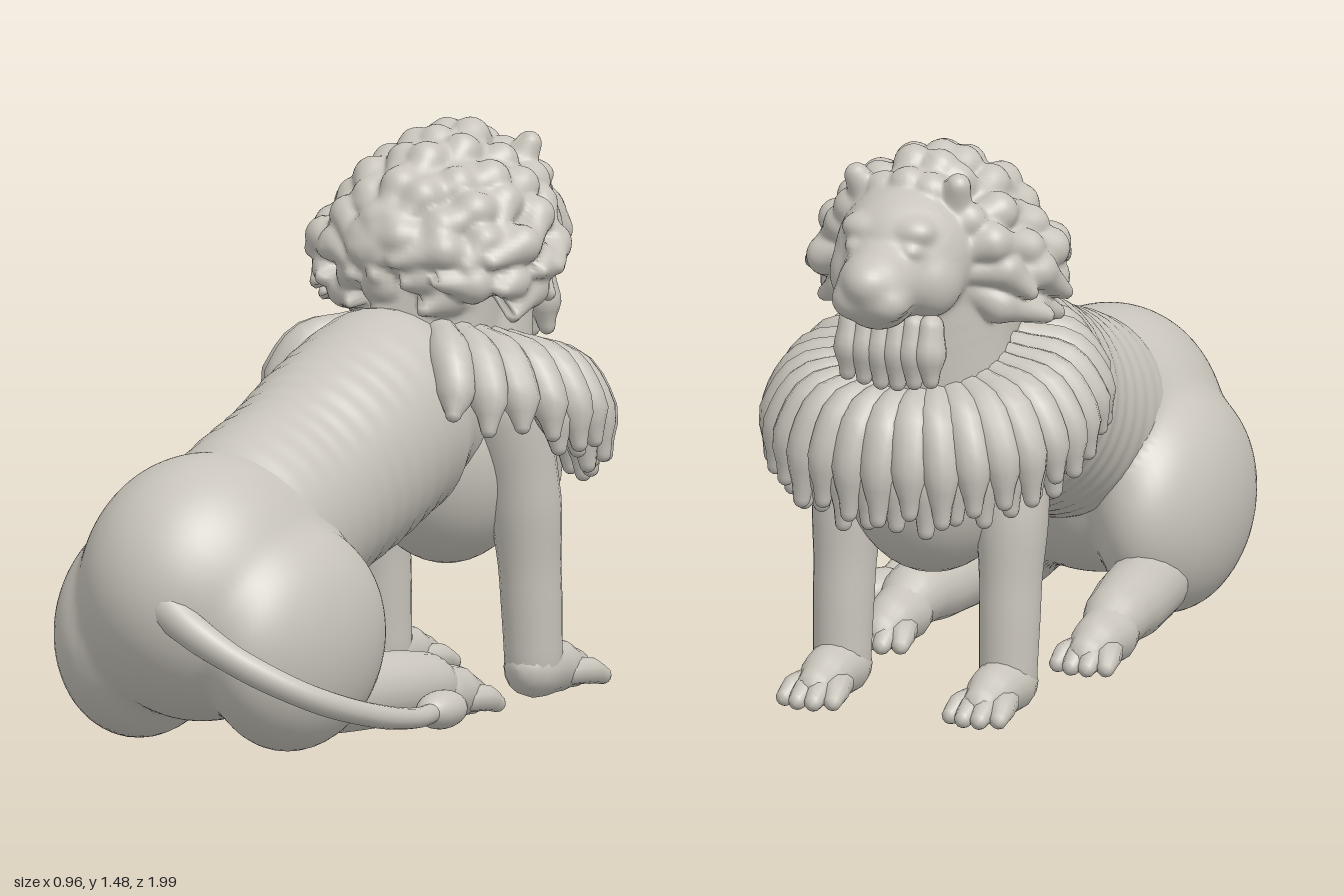
import * as THREE from 'three';
import { mergeVertices } from 'three/addons/utils/BufferGeometryUtils.js';

const stone = new THREE.MeshStandardMaterial({ color: 0xc8c4bb });
stone.name = 'warm grey stone';

const add = (parent, name, geometry) => {
  const m = new THREE.Mesh(geometry, stone);
  m.name = name;
  parent.add(m);
  return m;
};

const group = (parent, name) => {
  const g = new THREE.Group();
  g.name = name;
  parent.add(g);
  return g;
};

// Ellipsoid from centre and three radii
function blob(parent, name, c, r, detail = 32) {
  const m = add(parent, name, new THREE.SphereGeometry(1, detail, Math.ceil(detail * 0.7)));
  m.position.set(...c);
  m.scale.set(...r);
}

// Distance functions for shapes that melt together
const oval = (c, r) => (x, y, z) => {
  const a = (x - c[0]) / r[0], b = (y - c[1]) / r[1], d = (z - c[2]) / r[2];
  const k = Math.hypot(a, b, d);
  return k * (k - 1) / (Math.hypot(a / r[0], b / r[1], d / r[2]) + 1e-9);
};
const cone = (a, b, ra, rb) => {
  const v = b.map((n, i) => n - a[i]);
  const len = v[0] ** 2 + v[1] ** 2 + v[2] ** 2;
  return (x, y, z) => {
    const px = x - a[0], py = y - a[1], pz = z - a[2];
    const t = Math.min(1, Math.max(0, (px * v[0] + py * v[1] + pz * v[2]) / len));
    return Math.sqrt((px - v[0] * t) ** 2 + (py - v[1] * t) ** 2 + (pz - v[2] * t) ** 2) - ra - (rb - ra) * t;
  };
};

// One smooth skin: sphere vertices drawn inwards until they touch the melted shapes
function meld(parent, name, centre, shapes, soft, detail) {
  const sphere = new THREE.SphereGeometry(1, detail, Math.round(detail * 0.6));
  sphere.deleteAttribute('uv');
  sphere.deleteAttribute('normal');
  const g = mergeVertices(sphere, 1e-5);
  const pos = g.attributes.position;
  const d = new Float64Array(shapes.length);
  for (let i = 0; i < pos.count; i++) {
    const dir = [pos.getX(i), pos.getY(i), pos.getZ(i)];
    const point = t => dir.map((n, k) => centre[k] + n * t);
    let t = 0.8;
    for (let step = 0; step < 40 && t > 0.02; step++) {
      const [x, y, z] = point(t);
      let min = Infinity, sum = 0;
      for (let k = 0; k < d.length; k++) min = Math.min(min, d[k] = shapes[k](x, y, z));
      for (let k = 0; k < d.length; k++) if (d[k] - min < 6 * soft) sum += Math.exp((min - d[k]) / soft);
      const dist = min - soft * Math.log(sum);
      if (dist < 0.0008) break;
      t -= dist * 0.9;
    }
    pos.setXYZ(i, ...point(t));
  }
  g.computeVertexNormals();
  add(parent, name, g);
}

// Round-ended tube whose radius varies along a smooth path
function limb(parent, name, points, radii, seg = 12, sides = 12, ripple = () => 0) {
  const curve = new THREE.CatmullRomCurve3(points.map(p => new THREE.Vector3(...p)));
  const frames = curve.computeFrenetFrames(seg);
  const rings = [];
  const dome = [1, 0.8, 0.55, 0.28].map(k => k * Math.PI / 2);
  const ring = (i, r, shift) => rings.push({
    i, r, c: curve.getPointAt(i / seg).addScaledVector(frames.tangents[i], shift),
  });
  dome.forEach(a => ring(0, radii[0] * Math.cos(a), -radii[0] * Math.sin(a)));
  for (let i = 0; i <= seg; i++) {
    const f = curve.getUtoTmapping(i / seg) * (radii.length - 1);
    const k = Math.min(Math.floor(f), radii.length - 2);
    const s = f - k;
    ring(i, THREE.MathUtils.lerp(radii[k], radii[k + 1], s * s * (3 - 2 * s)) + ripple(i / seg), 0);
  }
  const end = radii[radii.length - 1];
  dome.reverse().forEach(a => ring(seg, end * Math.cos(a), end * Math.sin(a)));

  const pos = [], idx = [];
  rings.forEach(({ i, r, c }, n) => {
    for (let j = 0; j < sides; j++) {
      const a = j / sides * Math.PI * 2;
      const p = c.clone().addScaledVector(frames.normals[i], r * Math.cos(a)).addScaledVector(frames.binormals[i], r * Math.sin(a));
      pos.push(p.x, p.y, p.z);
      if (n === rings.length - 1) continue;
      const q = n * sides + j, w = n * sides + (j + 1) % sides;
      idx.push(q, w, q + sides, w, w + sides, q + sides);
    }
  });
  const g = new THREE.BufferGeometry();
  g.setAttribute('position', new THREE.Float32BufferAttribute(pos, 3));
  g.setIndex(idx);
  g.computeVertexNormals();
  return add(parent, name, g);
}

// Paw pointing to -z with four spread toes
function paw(parent, name, x, z, length) {
  const g = group(parent, name);
  g.position.set(x, 0, z);
  limb(g, 'foot', [[0, 0.09, 0], [0, 0.085, -length * 0.35], [0, 0.07, -length * 0.65]], [0.078, 0.07, 0.052], 8, 16);
  for (let i = 0; i < 4; i++) {
    const s = (i - 1.5) / 1.5;
    const reach = length * (1 - 0.1 * s * s);
    limb(g, 'toe', [[s * 0.04, 0.07, -length * 0.4], [s * 0.058, 0.065, -reach * 0.75], [s * 0.066, 0.05, -reach + 0.02]],
      [0.035, 0.034, 0.024], 6, 10);
  }
}

// Layered hanging locks around the shoulders
function buildRuff(parent) {
  const g = group(parent, 'shoulderRuff');
  const row = (count, span, scale, drop) => {
    for (let i = 0; i < count; i++) {
      const a = (i / (count - 1) - 0.5) * 2 * span;
      const s = Math.sin(a), c = -Math.cos(a), back = (1 + c) / 1.77;
      const vary = 0.015 * Math.sin(i * 2.4);
      const at = (rx, front, rear, y) => [s * rx * scale, y - drop, -0.5 + c * (c < 0 ? front : rear) * scale];
      limb(g, 'ruffLock', [
        at(0.2, 0.18, 0.3, 0.855 + 0.12 * back), at(0.33, 0.3, 0.42, 0.815 + 0.12 * back),
        at(0.4, 0.35, 0.48, 0.71 + 0.14 * back), at(0.42, 0.365, 0.52, 0.58 + 0.21 * back + vary),
      ], [0.045, 0.058, 0.053, 0.022], 10, 12);
    }
  };
  row(25, 2.42, 1, 0);
  row(18, 1.7, 0.92, 0.03);
}

// Rows of swept-back mane locks, wider towards the bottom
function maneShapes() {
  const at = (deg, th, lift, droop = 0) => {
    const phi = deg * Math.PI / 180;
    const dx = Math.sin(phi) * Math.cos(th), dy = Math.sin(phi) * Math.sin(th);
    return [0.258 * lift * dx * (1 - 0.4 * dy), 1.225 + 0.2 * lift * dy - droop, -0.47 - 0.25 * lift * Math.cos(phi) - 0.06 * dy];
  };
  const shapes = [oval([0, 1.22, -0.47], [0.25, 0.2, 0.24]), cone([0, 0.95, -0.4], [0, 1.1, -0.42], 0.19, 0.2)];
  [[42, 14], [64, 15], [86, 15], [108, 13], [130, 10], [153, 6]].forEach(([start, count], row) => {
    for (let i = 0; i < count; i++) {
      const th = (i + (row % 2) * 0.5) / count * Math.PI * 2 + Math.PI / 2;
      if (row < 3 && Math.sin(th) < -0.78) continue;
      const vary = Math.sin(i * 2.7 + row * 1.9), sway = 0.08 * Math.sin(i * 4.1 + row);
      const mid = at(start + 16, th + sway, 1.08 + 0.02 * vary);
      shapes.push(cone(at(start, th, 0.98), mid, 0.035, 0.046 + 0.004 * vary),
        cone(mid, at(start + 32 + 6 * vary, th - sway, 1.2 + 0.03 * vary, 0.035), 0.046, 0.02));
    }
  });
  return shapes;
}

function buildHead(parent) {
  const g = group(parent, 'head');
  const face = [
    oval([0, 1.235, -0.68], [0.18, 0.18, 0.18]), oval([0, 1.285, -0.73], [0.125, 0.11, 0.12]),
    cone([0, 1.21, -0.74], [0, 1.195, -0.88], 0.13, 0.098),
    oval([0, 1.215, -0.935], [0.06, 0.055, 0.058]), oval([0, 1.125, -0.86], [0.075, 0.045, 0.07]),
    cone([0, 0.92, -0.52], [0, 1.13, -0.56], 0.21, 0.19),
  ];
  for (const s of [-1, 1]) {
    face.push(oval([s * 0.042, 1.165, -0.915], [0.06, 0.052, 0.055]), oval([s * 0.07, 1.325, -0.795], [0.055, 0.036, 0.045]),
      oval([s * 0.1, 1.19, -0.745], [0.075, 0.095, 0.085]), oval([s * 0.075, 1.282, -0.83], [0.028, 0.02, 0.026]),
      cone([s * 0.125, 1.36, -0.65], [s * 0.14, 1.422, -0.67], 0.04, 0.032));
  }
  meld(g, 'faceAndMane', [0, 1.2, -0.57], [...face, ...maneShapes()], 0.006, 200);
  // Beard: one row of hanging locks
  for (let i = 0; i < 6; i++) {
    const x = (i - 2.5) * 0.044, drop = 0.02 * Math.abs(i - 2.5) / 2.5;
    limb(g, 'beardLock', [[x, 1.07, -0.775], [x, 1.0, -0.785], [x * 1.05, 0.915 + drop, -0.79]], [0.035, 0.045, 0.022], 7, 10);
  }
}

export function createModel() {
  const root = group(new THREE.Group(), 'lion');
  root.removeFromParent();
  const lion = group(root, 'lionFigure');
  lion.position.x = -0.025;

  // Torso with faint ribs, chest, rump and haunches
  limb(lion, 'torso',
    [[0, 0.47, 0.56], [0, 0.545, 0.38], [0, 0.61, 0.2], [0, 0.69, 0], [0, 0.765, -0.2], [0, 0.78, -0.36]],
    [0.26, 0.272, 0.27, 0.28, 0.28, 0.23], 90, 40, u => 0.002 * Math.sin(u * 90) * Math.sin(Math.PI * u)).scale.x = 0.91;
  blob(lion, 'chest', [0, 0.645, -0.5], [0.235, 0.295, 0.235]);
  meld(lion, 'rumpAndHaunches', [0, 0.36, 0.55], [
    oval([0, 0.42, 0.625], [0.3, 0.343, 0.37]), cone([0, 0.49, 0.5], [0, 0.57, 0.32], 0.25, 0.235),
    ...[-1, 1].map(s => oval([s * 0.228, 0.295, 0.555], [0.177, 0.287, 0.33])),
  ], 0.014, 110);

  for (const s of [-1, 1]) {
    limb(lion, 'hindLowerLeg', [[s * 0.24, 0.13, 0.36], [s * 0.265, 0.125, 0.18], [s * 0.28, 0.12, 0.04], [s * 0.285, 0.095, -0.06]],
      [0.1, 0.097, 0.085, 0.06], 14, 18);
    paw(lion, 'hindPaw', s * 0.285, -0.02, 0.22);
    limb(lion, 'frontLeg', [[s * 0.2, 0.78, -0.47], [s * 0.225, 0.55, -0.515], [s * 0.23, 0.32, -0.54], [s * 0.23, 0.1, -0.555]],
      [0.11, 0.095, 0.08, 0.075], 16, 20);
    paw(lion, 'frontPaw', s * 0.23, -0.555, 0.265);
  }

  buildRuff(lion);
  buildHead(lion);

  // Tail curling round the left side, ending in a bulb
  limb(root, 'tail',
    [[0.04, 0.42, 0.92], [0.13, 0.36, 0.935], [0.26, 0.27, 0.885], [0.39, 0.18, 0.76], [0.445, 0.115, 0.55], [0.44, 0.085, 0.35], [0.41, 0.085, 0.2]],
    [0.06, 0.046, 0.038, 0.034, 0.031, 0.027, 0.025], 40, 14);
  blob(root, 'tailTuft', [0.41, 0.085, 0.185], [0.055, 0.05, 0.09], 20);
  return root;
}
